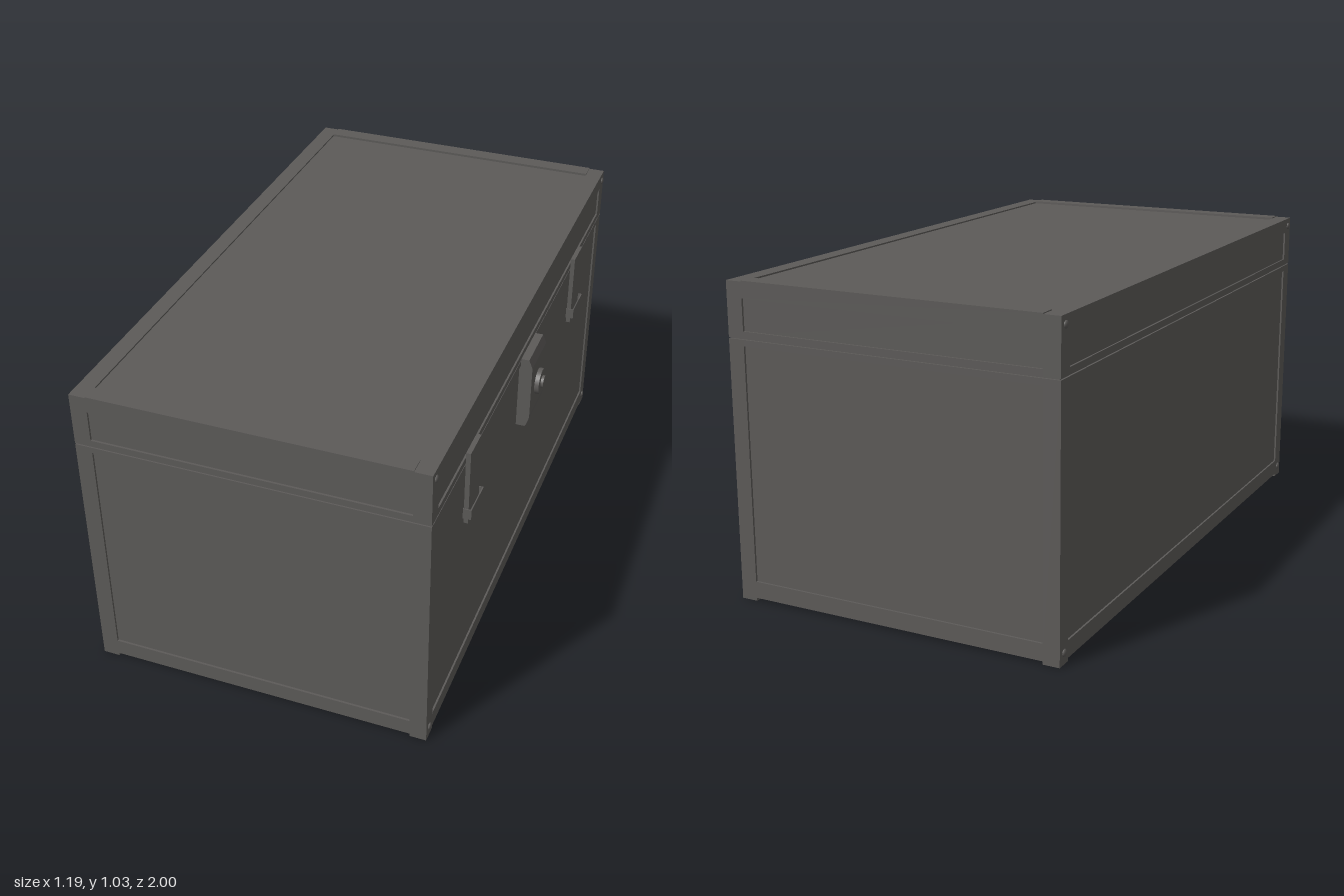
import * as THREE from 'three';

export function createModel() {
  const group = new THREE.Group();
  const metal = new THREE.MeshStandardMaterial({ color: 0x5c5a58 });

  const add = (name, geometry, x = 0, y = 0, z = 0, parent = group) => {
    const mesh = new THREE.Mesh(geometry, metal);
    mesh.name = name;
    mesh.position.set(x, y, z);
    parent.add(mesh);
    return mesh;
  };
  // Box given by its lower and upper limits on each axis
  const block = (name, x0, x1, y0, y1, z0, z1, parent = group) =>
    add(name, new THREE.BoxGeometry(x1 - x0, y1 - y0, z1 - z0),
      (x0 + x1) / 2, (y0 + y1) / 2, (z0 + z1) / 2, parent);

  const L = -0.59, R = 0.533, Z = 1, W = 0.055; // case limits and frame width

  // A recessed box with raised beams round its four walls
  const framedBox = (name, y0, y1, bottom, top) => {
    const part = new THREE.Group();
    part.name = name;
    group.add(part);
    block(name + 'Panels', L + 0.006, R - 0.006, y0 + 0.002, y1 - 0.005, -Z + 0.007, Z - 0.007, part);
    for (const s of [-1, 1]) {
      const [za, zb] = s < 0 ? [-Z, -Z + W] : [Z - W, Z];
      for (const [xa, xb] of [[L, L + W], [R - W, R]])
        block(name + 'Post', xa, xb, y0, y1, za, zb, part);
      const [xa, xb] = s < 0 ? [L, L + W] : [R - W, R];
      for (const [ya, yb] of [[y0, y0 + bottom], [y1 - top, y1]]) {
        block(name + 'EndBeam', L + W, R - W, ya, yb, za, zb, part);
        block(name + 'SideBeam', xa, xb, ya, yb, -Z + W, Z - W, part);
      }
    }
  };
  framedBox('body', 0.01, 0.849, 0.055, 0.02);
  framedBox('lid', 0.853, 1.028, 0.022, 0.051);
  block('seam', L + 0.006, R - 0.006, 0.84, 0.86, -Z + 0.007, Z - 0.007);

  // Corner feet and rivets
  const dome = new THREE.SphereGeometry(0.012, 12, 6, 0, Math.PI * 2, 0, Math.PI / 2);
  dome.scale(1, 0.6, 1);
  for (const sz of [-1, 1]) {
    for (const sx of [-1, 1]) {
      const x = sx < 0 ? L : R;
      const inner = x - sx * W;
      block('foot', Math.min(x, inner), Math.max(x, inner), 0, 0.012,
        Math.min(sz, sz * (1 - W)), Math.max(sz, sz * (1 - W)));
      for (const y of [0.037, 1.0])
        add('rivet', dome, x, y, sz * 0.972).rotation.z = -sx * Math.PI / 2;
    }
    // Raised strip on the top end beam
    block('topEndStrip', L + W, R - W, 1.02, 1.031, Math.min(sz, sz * (1 - W)), Math.max(sz, sz * (1 - W)));
  }

  // Lock plate with bevelled top and rounded bottom
  const lock = new THREE.Group();
  lock.name = 'lock';
  lock.position.z = 0.01;
  group.add(lock);
  const plate = new THREE.Shape();
  plate.moveTo(R - 0.005, 0.595);
  plate.lineTo(0.558, 0.595);
  plate.quadraticCurveTo(0.566, 0.605, 0.572, 0.635);
  plate.lineTo(0.572, 0.825);
  plate.lineTo(0.56, 0.855);
  plate.lineTo(R - 0.005, 0.855);
  const plateGeometry = new THREE.ExtrudeGeometry(plate, { depth: 0.17, bevelEnabled: false, curveSegments: 5 });
  add('lockPlate', plateGeometry, 0, 0, -0.085, lock);

  // Stepped round lock cylinder
  for (const [name, radius, x0, x1] of [['lockRing', 0.044, 0.565, 0.587], ['lockCore', 0.021, 0.58, 0.596]])
    add(name, new THREE.CylinderGeometry(radius, radius, x1 - x0, 28), (x0 + x1) / 2, 0.728, 0, lock)
      .rotation.z = -Math.PI / 2;

  // Latches: a flat strap running through a hollow loop
  const loop = new THREE.Shape();
  loop.moveTo(R, -0.062);
  loop.lineTo(0.56, -0.062);
  loop.lineTo(0.56, 0.062);
  loop.lineTo(R, 0.062);
  const hole = new THREE.Path();
  hole.moveTo(R + 0.002, -0.058);
  hole.lineTo(R + 0.002, 0.058);
  hole.lineTo(0.556, 0.058);
  hole.lineTo(0.556, -0.058);
  loop.holes.push(hole);
  const loopGeometry = new THREE.ExtrudeGeometry(loop, { depth: 0.036, bevelEnabled: false });
  loopGeometry.rotateX(-Math.PI / 2);
  for (const z of [-0.595, 0.638]) {
    const latch = new THREE.Group();
    latch.name = 'latch';
    latch.position.z = z;
    group.add(latch);
    block('latchStrap', R, 0.548, 0.63, 0.89, -0.052, 0.052, latch);
    add('latchLoop', loopGeometry, 0, 0.654, 0, latch);
  }
  return group;
}
